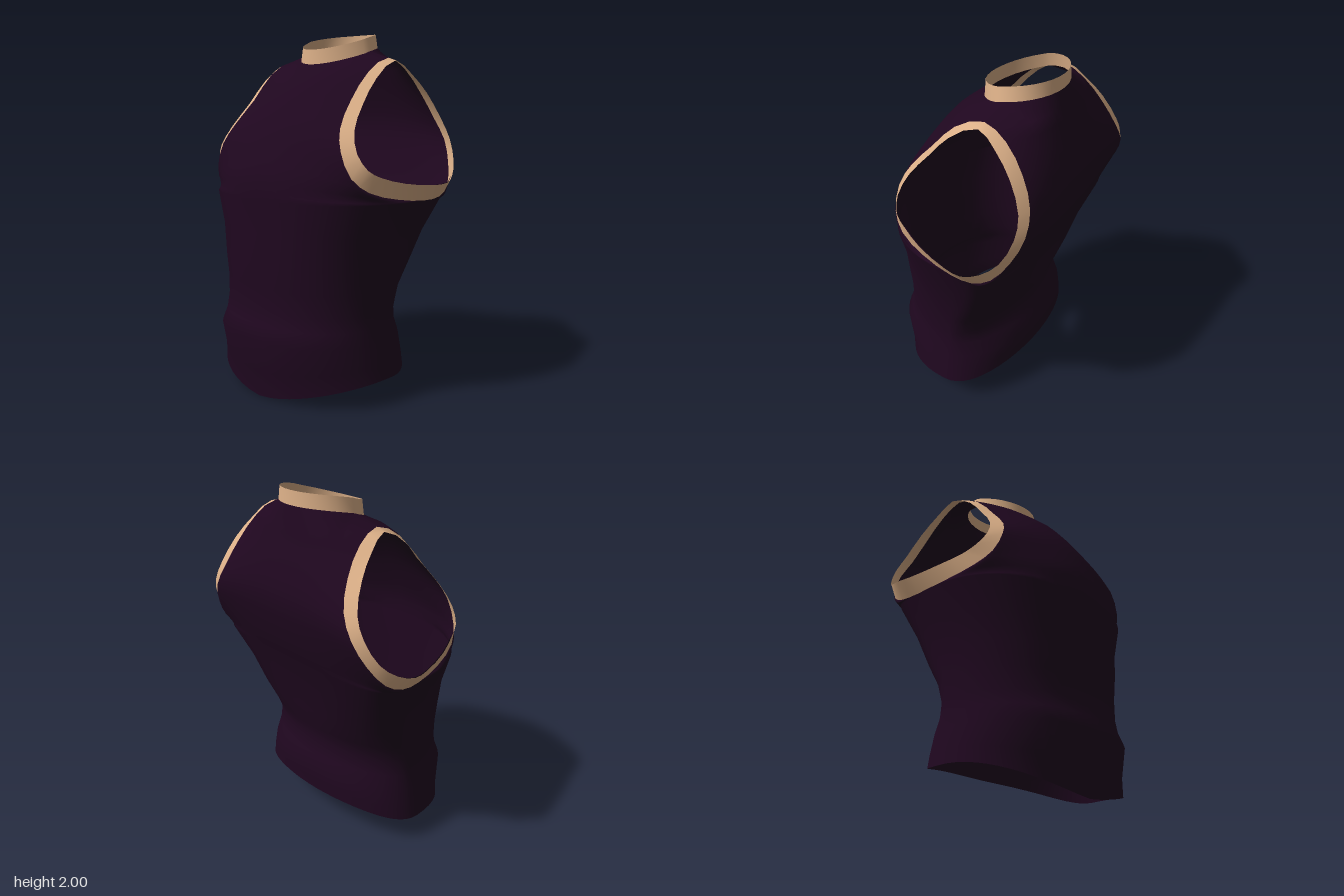
import * as THREE from 'three';
import { mergeGeometries, mergeVertices } from 'three/addons/utils/BufferGeometryUtils.js';

const N = 14;      // columns from the centre line to the side
const NECK = 7;    // columns of the top row that follow the neckline
const ROWS = 16;   // rows from underarm to shoulder

// Smooth curve through a few points, sampled evenly between them
function sample(points, count, closed) {
  const curve = new THREE.CatmullRomCurve3(points.map(p => new THREE.Vector3(...p)), closed);
  return Array.from({ length: count }, (_, i) => curve.getPoint(i / count).toArray());
}

// Armhole loop of the left side: top, front, bottom, back.
// Outer edge of the trim, where it joins the cloth [x, y, z]
const OUTER = sample([
  [.375, 1.85, -.17], [.375, 1.77, 0], [.375, 1.62, .14], [.41, 1.48, .26],
  [.46, 1.37, .31], [.52, 1.24, .30], [.575, 1.165, .22], [.625, 1.12, .05],
  [.655, 1.10, -.14], [.66, 1.11, -.27], [.64, 1.16, -.37], [.59, 1.27, -.45],
  [.53, 1.40, -.495], [.465, 1.52, -.48], [.42, 1.66, -.41], [.39, 1.79, -.30],
], 2 * ROWS, true);
// Inner edge of the trim, around the opening
const INNER = sample([
  [.425, 1.835, -.17], [.43, 1.735, 0], [.44, 1.60, .12], [.475, 1.47, .225],
  [.53, 1.36, .265], [.58, 1.28, .24], [.61, 1.24, .17], [.66, 1.205, .04],
  [.705, 1.185, -.14], [.72, 1.19, -.25], [.69, 1.22, -.34], [.645, 1.29, -.42],
  [.585, 1.41, -.465], [.53, 1.52, -.455], [.485, 1.66, -.38], [.45, 1.765, -.28],
], 2 * ROWS, true);

// Hem to chest: front centre [y, z], side [x, y, z], back centre [y, z],
// and how square the ring is in front and back (1 is an ellipse, less is squarer)
const LOWER = [
  { front: [.005, .46], side: [.577, .145, 0], back: [.23, -.32], pow: [.88, .95] },
  { front: [.15, .468], side: [.565, .22, 0], back: [.29, -.32], pow: [.88, .95] },
  { front: [.34, .51], side: [.545, .34, 0], back: [.37, -.325], pow: [.85, 1] },
  { front: [.42, .475], side: [.53, .42, -.01], back: [.45, -.30], pow: [.85, 1.1] },
  { front: [.50, .457], side: [.53, .50, -.02], back: [.53, -.27], pow: [.85, 1.15] },
  { front: [.62, .457], side: [.535, .62, -.03], back: [.63, -.295], pow: [.85, 1] },
  { front: [.75, .465], side: [.555, .75, -.07], back: [.76, -.33], pow: [.83, .8] },
  { front: [.92, .46], side: [.592, .92, -.11], back: [.93, -.365], pow: [.82, .62] },
];
// Centre lines from underarm height to the collar [x, y, z]
const CHEST = [[0, 1.10, .465], [0, 1.17, .463], [0, 1.25, .45], [0, 1.36, .41], [0, 1.47, .36],
  [0, 1.57, .30], [0, 1.68, .215], [0, 1.76, .12], [0, 1.82, .027]];
const BACK = [[0, 1.10, -.42], [0, 1.15, -.44], [0, 1.23, -.465], [0, 1.33, -.49], [0, 1.43, -.508],
  [0, 1.53, -.505], [0, 1.66, -.47], [0, 1.79, -.425], [0, 1.925, -.387]];

// Smooth surface through rows of points
function grid(rows) {
  const w = rows[0].length, index = [];
  for (let r = 0; r < rows.length - 1; r++) {
    for (let j = 0; j < w - 1; j++) {
      const a = r * w + j, b = a + w;
      index.push(a, a + 1, b, a + 1, b + 1, b);
    }
  }
  const geo = new THREE.BufferGeometry();
  geo.setAttribute('position', new THREE.Float32BufferAttribute(rows.flat(2), 3));
  geo.setIndex(index);
  return geo;
}

function smooth(geo) {
  const g = mergeVertices(geo, 1e-4);
  g.computeVertexNormals();
  return g;
}

// Neck ring, slightly pointed in front: angle 0 is the front, PI the back
function neckPoint(a, top) {
  const c = Math.cos(a), r = top ? .218 : .234;
  const y = top ? 1.965 - .05 * c - .015 * c * c : 1.89 - .053 * c - .0175 * c * c;
  const reach = c > 0 ? c ** 1.2 : c;
  return [r * Math.sin(a), y, -.18 + (top ? .207 : .21) * reach];
}

// One row of cloth from side to side; dir is 1 for the front, -1 for the back
function clothRow(centre, edge, round, pow, dir) {
  const row = [];
  for (let j = -N; j <= N; j++) {
    const a = Math.abs(j) / N * Math.PI / 2;
    const u = Math.sin(a) ** pow;
    const wrap = 1 - Math.max(0, Math.cos(a)) ** pow;
    const f = round * wrap + (1 - round) * u ** (dir > 0 ? 2.2 : 3);
    row.push([
      Math.sign(j) * dir * edge[0] * u,
      centre[0] + (edge[1] - centre[0]) * u ** (dir > 0 ? 1.4 : 3),
      centre[1] + (edge[2] - centre[1]) * f,
    ]);
  }
  return row;
}

// Top row: half of the neckline, then along both shoulders
function topRow(dir) {
  const row = [];
  for (let j = -N; j <= N; j++) {
    const k = Math.abs(j), a = Math.min(k / NECK, 1) * Math.PI / 2;
    let p = neckPoint(dir > 0 ? a : Math.PI - a, false);
    if (k > NECK) {
      const t = (k - NECK) / (N - NECK);
      p = p.map((v, i) => v + (OUTER[0][i] - v) * t);
    }
    row.push([Math.sign(j) * dir * Math.abs(p[0]), p[1], p[2]]);
  }
  return row;
}

// Front or back half, from the hem to the shoulders
function clothHalf(dir) {
  const front = dir > 0;
  const rows = LOWER.map(s => clothRow(front ? s.front : s.back, s.side, 1, s.pow[front ? 0 : 1], dir));
  const centre = new THREE.CatmullRomCurve3((front ? CHEST : BACK).map(p => new THREE.Vector3(...p)));
  for (let i = 0; i < ROWS; i++) {
    const c = centre.getPoint(i / ROWS);
    const round = Math.max(0, 1 - i / 9) ** 1.6;   // how far the row wraps round the side
    const pow = front ? .8 : .45 + .35 * Math.min(1, i / 10);
    rows.push(clothRow([c.y, c.z], OUTER[ROWS - dir * i], round, pow, dir));
  }
  rows.push(topRow(dir));
  return grid(rows);
}

// Band between the two armhole edges, from one loop index to another
function armBand(side, from, to, inset) {
  const line = pts => {
    const l = [];
    for (let i = from; i <= to; i++) {
      const [x, y, z] = pts[i % pts.length];
      l.push([side * (x - inset), y, z]);
    }
    return side > 0 ? l : l.reverse();
  };
  return grid([line(OUTER), line(INNER)]);
}

export function createModel() {
  const cloth = new THREE.MeshStandardMaterial({ color: 0x1f071f, side: THREE.DoubleSide });
  cloth.name = 'darkPurpleCloth';
  const tan = new THREE.MeshStandardMaterial({ color: 0xdcb088, side: THREE.DoubleSide });
  tan.name = 'tanTrim';

  const group = new THREE.Group();
  group.name = 'sleevelessTop';
  const add = (name, geo, mat) => {
    const mesh = new THREE.Mesh(smooth(geo), mat);
    mesh.name = name;
    group.add(mesh);
  };

  // Cloth body
  add('body', mergeGeometries([clothHalf(1), clothHalf(-1)]), cloth);

  // Armhole trims, with cloth lining behind them under the arm
  for (const [name, side] of [['left', 1], ['right', -1]]) {
    add(name + 'ArmTrim', armBand(side, 0, 2 * ROWS, 0), tan);
    add(name + 'ArmLining', armBand(side, 12, 20, .006), cloth);
  }

  // Standing collar
  const collar = [false, true].map(top =>
    Array.from({ length: 4 * NECK + 1 }, (_, i) => neckPoint(i / (4 * NECK) * Math.PI * 2, top)));
  add('collar', grid(collar), tan);

  return group;
}
